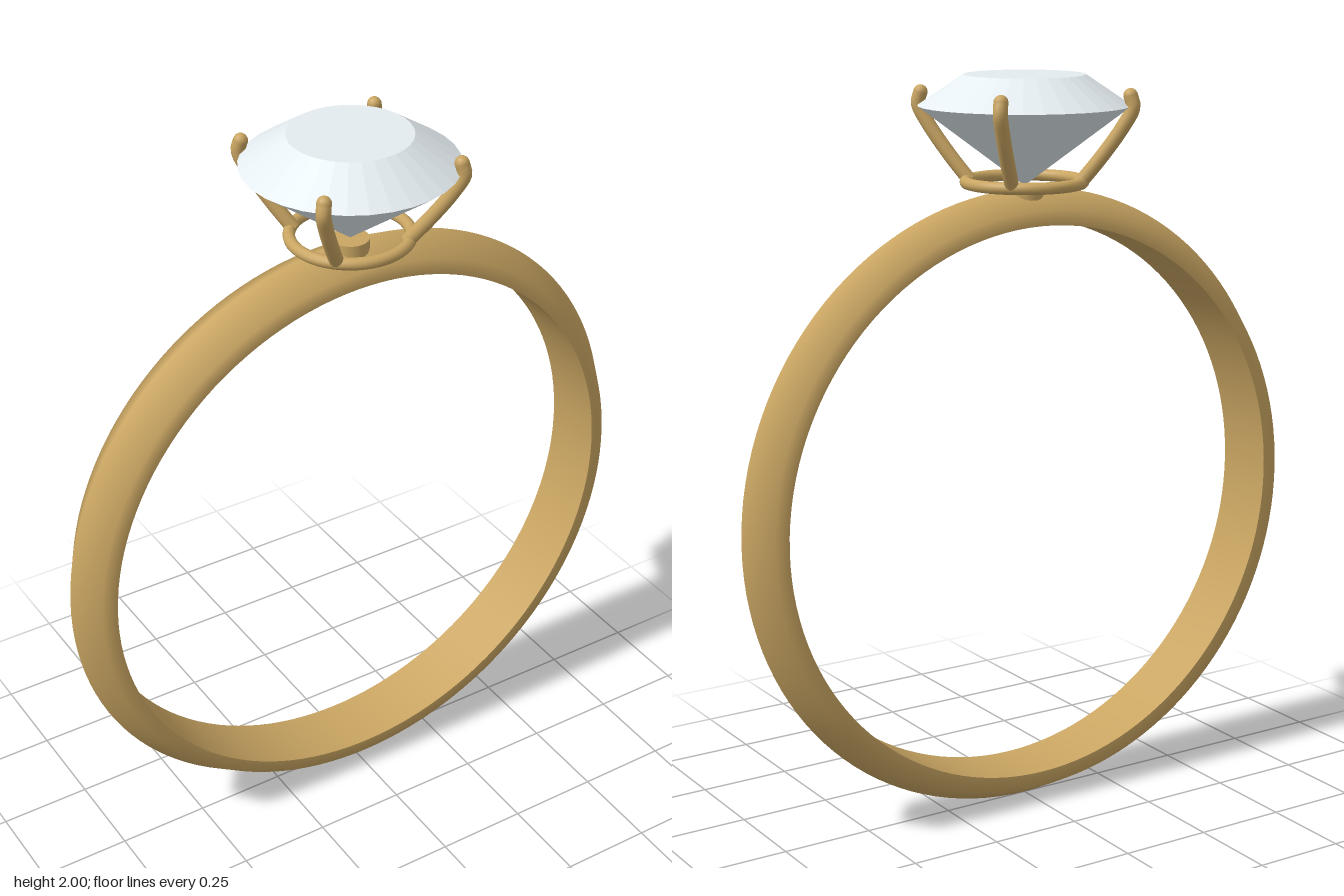
import * as THREE from 'three';
import { toCreasedNormals } from 'three/addons/utils/BufferGeometryUtils.js';

const gold = new THREE.MeshStandardMaterial({ color: 0xc9a562 });
const stone = new THREE.MeshStandardMaterial({ color: 0xe4ecf0, flatShading: true });

const points = (list) => list.map(([x, y]) => new THREE.Vector2(x, y));

export function createModel() {
  const ring = new THREE.Group();
  ring.name = 'ring';

  const add = (name, geometry, material, parent = ring) => {
    const mesh = new THREE.Mesh(geometry, material);
    mesh.name = name;
    parent.add(mesh);
    return mesh;
  };

  // Band: ridged profile turned round the z axis, flat on the inside
  const bandProfile = points([
    [0.76, -0.09], [0.80, -0.09], [0.85, 0], [0.80, 0.084], [0.77, 0.09], [0.76, 0.09], [0.76, -0.09],
  ]);
  const bandGeometry = new THREE.LatheGeometry(bandProfile, 128).rotateX(Math.PI / 2);
  add('band', toCreasedNormals(bandGeometry, 1.3), gold).position.y = 0.853;

  // Setting: post, base ring and four claws
  const setting = new THREE.Group();
  setting.name = 'setting';
  ring.add(setting);

  add('post', new THREE.CylinderGeometry(0.05, 0.05, 0.06, 32), gold, setting).position.y = 1.68;
  add('baseRing', new THREE.TorusGeometry(0.155, 0.016, 12, 64).rotateX(Math.PI / 2), gold, setting)
    .position.y = 1.72;

  // Each claw leans outward along a diagonal and ends in a rounded tip
  const clawPath = [[0.105, 1.72], [0.145, 1.79], [0.185, 1.87], [0.203, 1.92], [0.198, 1.95]];
  for (const sx of [-1, 1]) {
    for (const sz of [-1, 1]) {
      const curve = new THREE.CatmullRomCurve3(
        clawPath.map(([d, y]) => new THREE.Vector3(sx * d, y, sz * d)));
      const claw = new THREE.Group();
      claw.name = 'claw';
      setting.add(claw);
      add('clawArm', new THREE.TubeGeometry(curve, 24, 0.019, 12), gold, claw);
      add('clawTip', new THREE.SphereGeometry(0.019, 12, 8), gold, claw)
        .position.copy(curve.getPoint(1));
    }
  }

  // Stone: pointed pavilion, sharp girdle, sloping crown and flat table
  const stoneProfile = points([[0, 1.71], [0.28, 1.92], [0.16, 2], [0, 2]]);
  add('stone', new THREE.LatheGeometry(stoneProfile, 32), stone);

  return ring;
}
